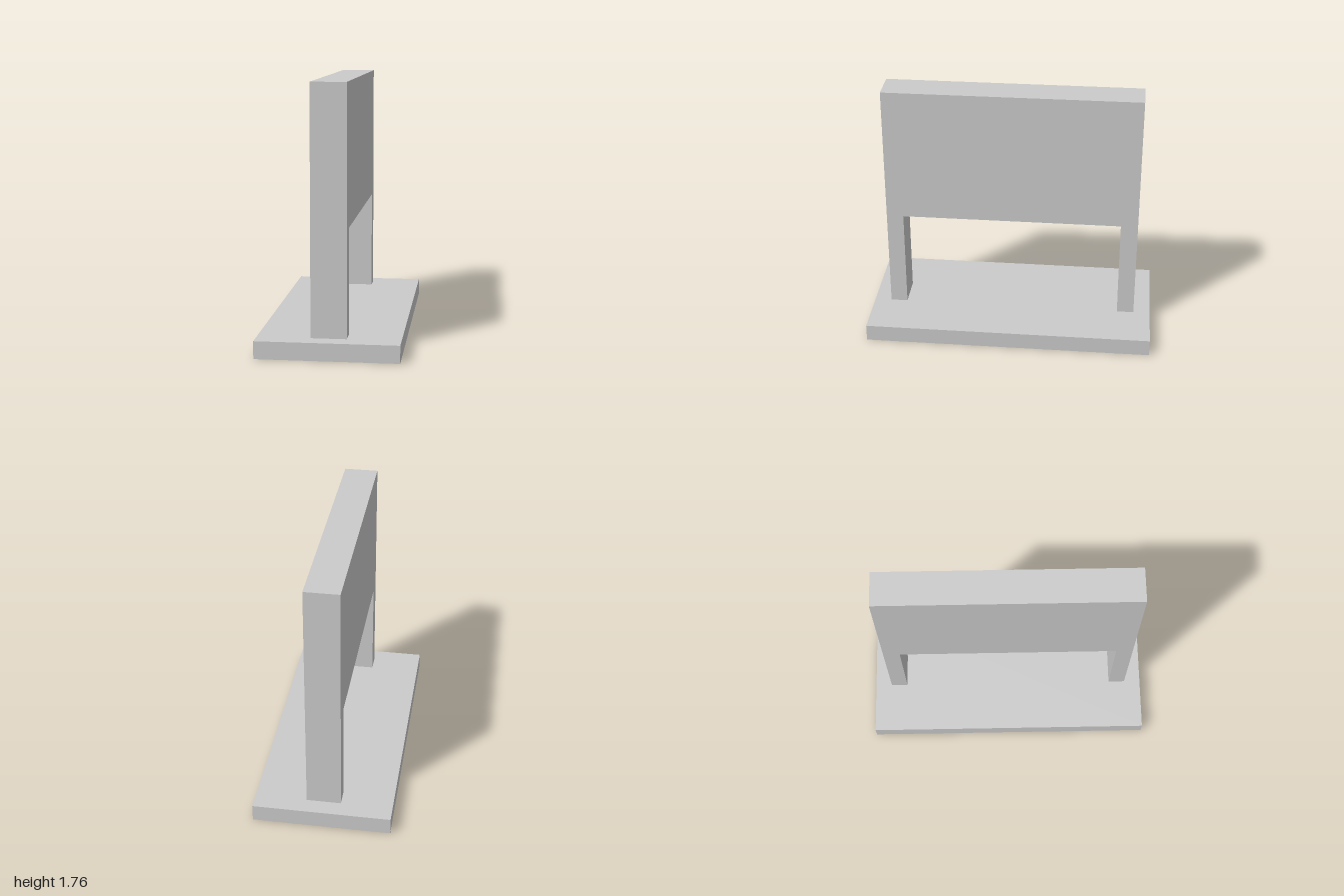
import * as THREE from 'three';

const U = 2 / 17; // common board thickness, all sizes are multiples of it

export function createModel() {
  const group = new THREE.Group();
  const material = new THREE.MeshStandardMaterial({ color: 0xcccccc, flatShading: true });

  // Flat base plate
  const base = new THREE.Mesh(new THREE.BoxGeometry(8 * U, U, 17 * U), material);
  base.name = 'base';
  base.position.y = U / 2;
  group.add(base);

  // Upright panel and its two legs, cut as one outline and extruded across x
  const outline = new THREE.Shape([
    [-7.5, 1], [-6.5, 1], [-6.5, 7], [6.5, 7],
    [6.5, 1], [7.5, 1], [7.5, 15], [-7.5, 15],
  ].map(([z, y]) => new THREE.Vector2(z * U, y * U)));
  const geometry = new THREE.ExtrudeGeometry(outline, { depth: 2 * U, bevelEnabled: false });
  geometry.translate(0, 0, -U).rotateY(Math.PI / 2);
  const panel = new THREE.Mesh(geometry, material);
  panel.name = 'panelWithLegs';
  group.add(panel);

  return group;
}
